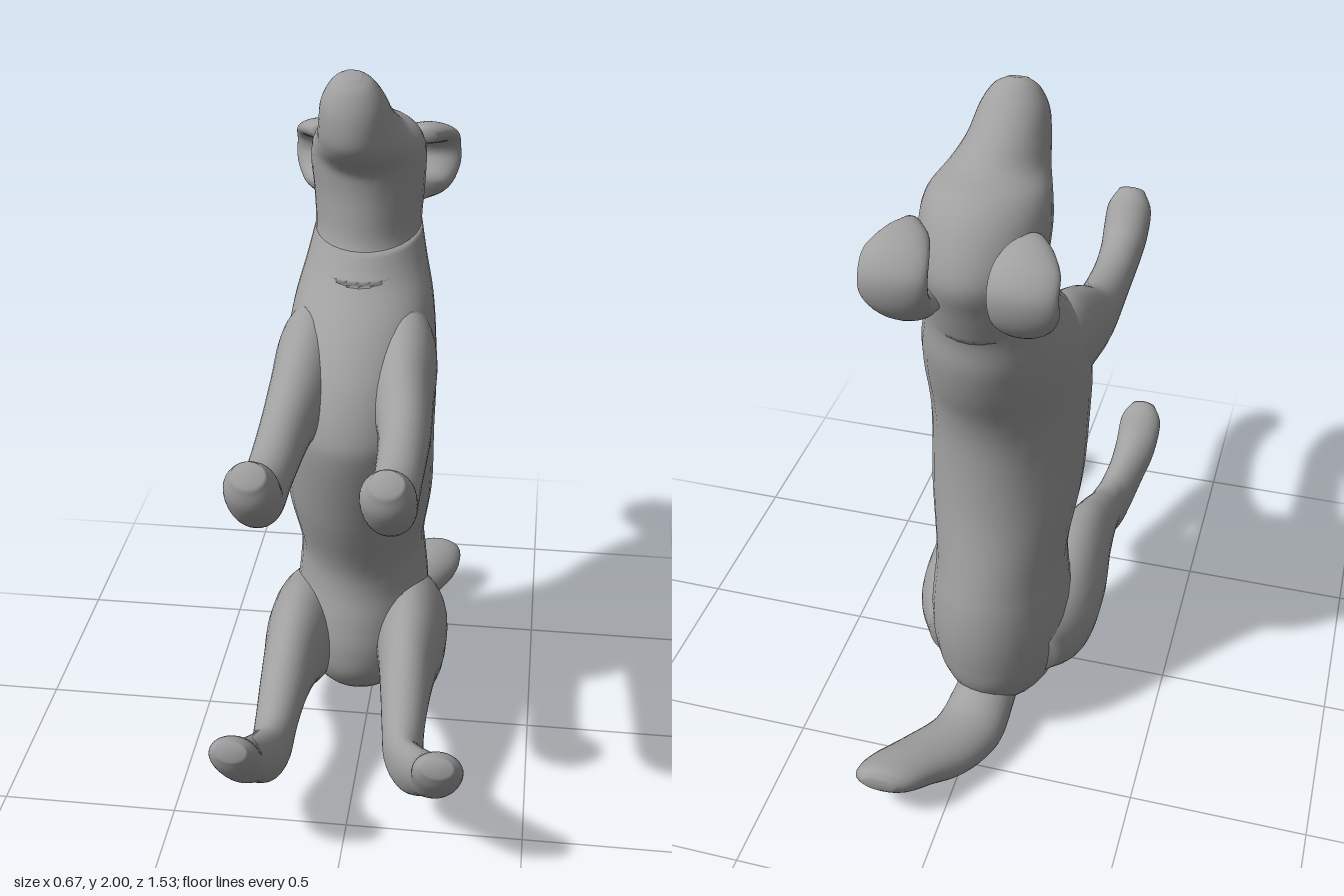
import * as THREE from 'three';

const MID = -0.03; // the body's own centre line in x
const SIDES = 32;

// Smooth skin through oval sections: [z1, y1, z2, y2, halfWidth, xCentre].
// (z1, y1) and (z2, y2) are the opposite edges of each section in profile.
function loft(name, rows, material, placeX = (x) => x, steps = 5) {
  const curve = (f) => new THREE.CatmullRomCurve3(
    rows.map((r) => new THREE.Vector3(...f(r))), false, 'catmullrom', 0.5);
  const edgeA = curve((r) => [0, r[1], r[0]]);
  const edgeB = curve((r) => [0, r[3], r[2]]);
  const width = curve((r) => [r[4], placeX(r[5] ?? 0, (r[0] + r[2]) / 2), 0]);
  const n = (rows.length - 1) * steps;
  const pos = [], index = [];
  for (let i = 0; i <= n; i++) {
    const t = i / n;
    const a = edgeA.getPoint(t), b = edgeB.getPoint(t), w = width.getPoint(t);
    for (let j = 0; j < SIDES; j++) {
      const q = (j / SIDES) * Math.PI * 2;
      const k = (1 + Math.cos(q)) / 2;
      pos.push(w.y + Math.sin(q) * w.x, b.y + (a.y - b.y) * k, b.z + (a.z - b.z) * k);
      if (i < n) {
        const p = i * SIDES + j, r = i * SIDES + ((j + 1) % SIDES);
        index.push(p, r, r + SIDES, p, r + SIDES, p + SIDES);
      }
    }
  }
  // close both ends
  for (const t of [0, 1]) {
    const a = edgeA.getPoint(t), b = edgeB.getPoint(t), w = width.getPoint(t);
    const c = pos.length / 3, start = t * n * SIDES;
    pos.push(w.y, (a.y + b.y) / 2, (a.z + b.z) / 2);
    for (let j = 0; j < SIDES; j++) {
      const p = start + j, r = start + ((j + 1) % SIDES);
      if (t) index.push(c, p, r); else index.push(c, r, p);
    }
  }
  const geometry = new THREE.BufferGeometry();
  geometry.setAttribute('position', new THREE.Float32BufferAttribute(pos, 3));
  geometry.setIndex(index);
  geometry.computeVertexNormals();
  const mesh = new THREE.Mesh(geometry, material);
  mesh.name = name;
  return mesh;
}

// Rump, belly, chest and neck, from the seat upward: front edge, back edge
const TORSO = [
  [-0.13, 0.075, -0.21, 0.065, 0.04], [0.01, 0.11, -0.33, 0.105, 0.13],
  [0.09, 0.2, -0.4, 0.2, 0.18], [0.11, 0.3, -0.425, 0.3, 0.2],
  [0.1, 0.4, -0.435, 0.4, 0.2], [0.08, 0.5, -0.43, 0.5, 0.19],
  [0.09, 0.6, -0.41, 0.6, 0.185], [0.16, 0.78, -0.365, 0.8, 0.21],
  [0.225, 1.0, -0.355, 1.0, 0.215], [0.225, 1.1, -0.375, 1.13, 0.217],
  [0.17, 1.22, -0.425, 1.25, 0.21], [0.07, 1.33, -0.455, 1.35, 0.195],
  [-0.05, 1.42, -0.465, 1.45, 0.17], [-0.115, 1.5, -0.5, 1.54, 0.15],
];
// Skull and muzzle, up to the nose
const HEAD = [
  [-0.05, 1.42, -0.465, 1.45, 0.165], [-0.115, 1.5, -0.5, 1.54, 0.15],
  [-0.13, 1.6, -0.53, 1.64, 0.155], [-0.13, 1.68, -0.485, 1.75, 0.16],
  [-0.115, 1.725, -0.42, 1.815, 0.15], [-0.06, 1.775, -0.33, 1.845, 0.122, -0.005],
  [-0.035, 1.82, -0.27, 1.895, 0.102, -0.015], [-0.035, 1.89, -0.2, 1.955, 0.085, -0.02],
  [-0.055, 1.95, -0.155, 1.99, 0.057, -0.022], [-0.085, 1.985, -0.13, 2.0, 0.025, -0.025],
];
// Folded ear: back from the head, then forward to the tip
const EAR = [
  [-0.4, 1.62, -0.42, 1.54, 0.06, 0.11], [-0.48, 1.61, -0.52, 1.53, 0.075, 0.14],
  [-0.52, 1.64, -0.575, 1.585, 0.085, 0.155], [-0.52, 1.67, -0.588, 1.67, 0.085, 0.155],
  [-0.5, 1.69, -0.54, 1.735, 0.08, 0.155], [-0.46, 1.7, -0.47, 1.76, 0.058, 0.15],
  [-0.42, 1.715, -0.42, 1.757, 0.025, 0.15],
];
// Foreleg from shoulder to paw: lower edge, upper edge
const FORELEG = [
  [-0.2, 1.15, -0.2, 1.34, 0.05, 0.12], [-0.05, 1.08, -0.05, 1.36, 0.09, 0.13],
  [0.1, 1.035, 0.12, 1.295, 0.085, 0.14], [0.23, 1.04, 0.26, 1.22, 0.07, 0.158],
  [0.45, 1.055, 0.45, 1.19, 0.062, 0.163], [0.6, 1.065, 0.58, 1.205, 0.063, 0.163],
  [0.685, 1.105, 0.635, 1.245, 0.068, 0.163], [0.745, 1.185, 0.67, 1.28, 0.066, 0.163],
  [0.755, 1.255, 0.71, 1.303, 0.04, 0.163],
];
// Hind leg from hip over the hock to the toes: lower edge, upper edge
const HINDLEG = [
  [-0.28, 0.2, -0.3, 0.38, 0.07, 0.12], [-0.15, 0.13, -0.15, 0.44, 0.11, 0.15],
  [0.02, 0.12, 0.03, 0.475, 0.105, 0.165], [0.14, 0.18, 0.2, 0.45, 0.085, 0.17],
  [0.27, 0.225, 0.33, 0.395, 0.07, 0.175], [0.375, 0.205, 0.43, 0.345, 0.06, 0.18],
  [0.45, 0.15, 0.49, 0.335, 0.057, 0.18], [0.52, 0.155, 0.53, 0.345, 0.056, 0.18],
  [0.6, 0.22, 0.6, 0.38, 0.058, 0.18], [0.67, 0.28, 0.66, 0.425, 0.065, 0.18],
  [0.74, 0.37, 0.71, 0.475, 0.066, 0.18], [0.768, 0.435, 0.75, 0.488, 0.04, 0.18],
];
// Tail, sweeping to the model's left: upper edge, lower edge
const TAIL = [
  [-0.25, 0.25, -0.2, 0.08, 0.08, 0], [-0.37, 0.205, -0.31, 0.04, 0.09, 0.01],
  [-0.46, 0.165, -0.45, 0.0, 0.1, 0.03], [-0.56, 0.165, -0.58, 0.015, 0.11, 0.09],
  [-0.67, 0.183, -0.66, 0.045, 0.105, 0.155], [-0.74, 0.187, -0.73, 0.085, 0.085, 0.185],
  [-0.765, 0.165, -0.765, 0.125, 0.045, 0.195],
];

export function createModel() {
  const group = new THREE.Group();
  group.name = 'sittingDog';
  const grey = new THREE.MeshStandardMaterial({ color: 0xa0a0a0 });
  grey.name = 'plain grey';

  const centred = (x) => MID + x;
  group.add(
    loft('torso', TORSO, grey, centred),
    loft('head', HEAD, grey, centred),
    loft('tail', TAIL, grey, centred),
  );

  // paired parts; the left hind foot turns out further than the right
  for (const [side, label, splay] of [[1, 'left', 0.12], [-1, 'right', 0.055]]) {
    const paired = (x) => MID + side * x;
    const splayed = (x, z) =>
      MID + side * (x + splay * THREE.MathUtils.smoothstep(z, 0.42, 0.72));
    group.add(
      loft(label + 'Ear', EAR, grey, paired),
      loft(label + 'Foreleg', FORELEG, grey, paired),
      loft(label + 'HindLeg', HINDLEG, grey, splayed),
    );
  }
  return group;
}
